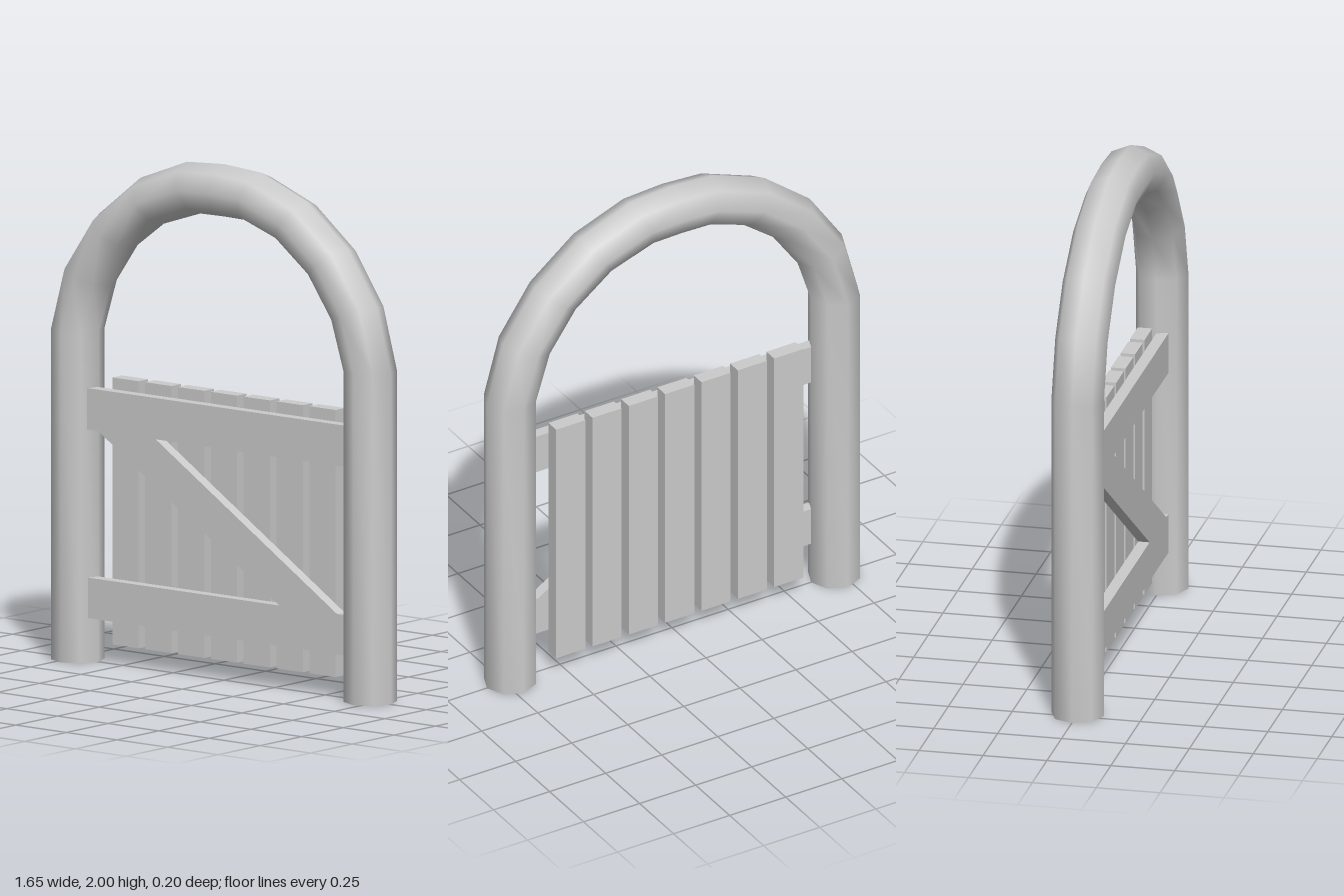
import * as THREE from 'three';

const material = new THREE.MeshStandardMaterial({ color: 0xcccccc });
const SIDES = 8, POST_R = 0.1025, POST_X = 0.7225;

function addMesh(parent, name, geometry, x = 0, y = 0, z = 0) {
  const mesh = new THREE.Mesh(geometry, material);
  mesh.name = name;
  mesh.position.set(x, y, z);
  parent.add(mesh);
  return mesh;
}

// Octagonal tube: each ring spans an outer and an inner point of the arch
function archGeometry() {
  // outer x, outer y, inner x, inner y from the right foot to the crown
  const half = [
    [0.825, 0, 0.62, 0],
    [0.825, 1.28, 0.62, 1.28],
    [0.757, 1.53, 0.56, 1.465],
    [0.613, 1.74, 0.45, 1.62],
    [0.412, 1.90, 0.297, 1.735],
    [0.183, 1.988, 0.117, 1.795],
  ];
  const mirrored = half.map(([ox, oy, ix, iy]) => [-ox, oy, -ix, iy]);
  const rings = [...mirrored, [0, 2, 0, 1.797], ...half.reverse()];
  const positions = [], index = [];
  rings.forEach(([ox, oy, ix, iy], i) => {
    for (let j = 0; j < SIDES; j++) {
      const a = (j / SIDES) * Math.PI * 2, c = Math.cos(a) / 2;
      positions.push((ox + ix) / 2 + (ox - ix) * c, (oy + iy) / 2 + (oy - iy) * c, POST_R * Math.sin(a));
      if (i === rings.length - 1) continue;
      const p = i * SIDES + j, q = i * SIDES + ((j + 1) % SIDES);
      index.push(p, q, p + SIDES, q, q + SIDES, p + SIDES);
    }
  });
  const geometry = new THREE.BufferGeometry();
  geometry.setAttribute('position', new THREE.Float32BufferAttribute(positions, 3));
  geometry.setIndex(index);
  geometry.computeVertexNormals();
  return geometry;
}

export function createModel() {
  const model = new THREE.Group();
  model.name = 'archedGate';

  // Arch with flat feet
  const arch = new THREE.Group();
  arch.name = 'arch';
  model.add(arch);
  addMesh(arch, 'archTube', archGeometry());
  for (const side of [-1, 1]) {
    addMesh(arch, side > 0 ? 'leftFoot' : 'rightFoot',
      new THREE.CircleGeometry(POST_R, SIDES).rotateX(Math.PI / 2), side * POST_X);
  }

  const gate = new THREE.Group();
  gate.name = 'gate';
  model.add(gate);

  // Upright slats
  for (let i = 0; i < 7; i++) {
    addMesh(gate, `slat${i + 1}`, new THREE.BoxGeometry(0.13, 1.035, 0.057), (i - 3) * 0.162, 0.5925, -0.0285);
  }

  // Cross rails in front of the slats
  const railDepth = 0.045;
  addMesh(gate, 'topRail', new THREE.BoxGeometry(1.275, 0.16, railDepth), -0.002, 0.985, railDepth / 2);
  addMesh(gate, 'bottomRail', new THREE.BoxGeometry(1.265, 0.157, railDepth), -0.002, 0.2525, railDepth / 2);

  // Diagonal brace between the rails
  const brace = new THREE.Shape([[-0.585, 0.905], [0.31, 0.331], [0.595, 0.331], [-0.3, 0.905]]
    .map(([x, y]) => new THREE.Vector2(x, y)));
  addMesh(gate, 'brace', new THREE.ExtrudeGeometry(brace, { depth: railDepth, bevelEnabled: false }));

  return model;
}
